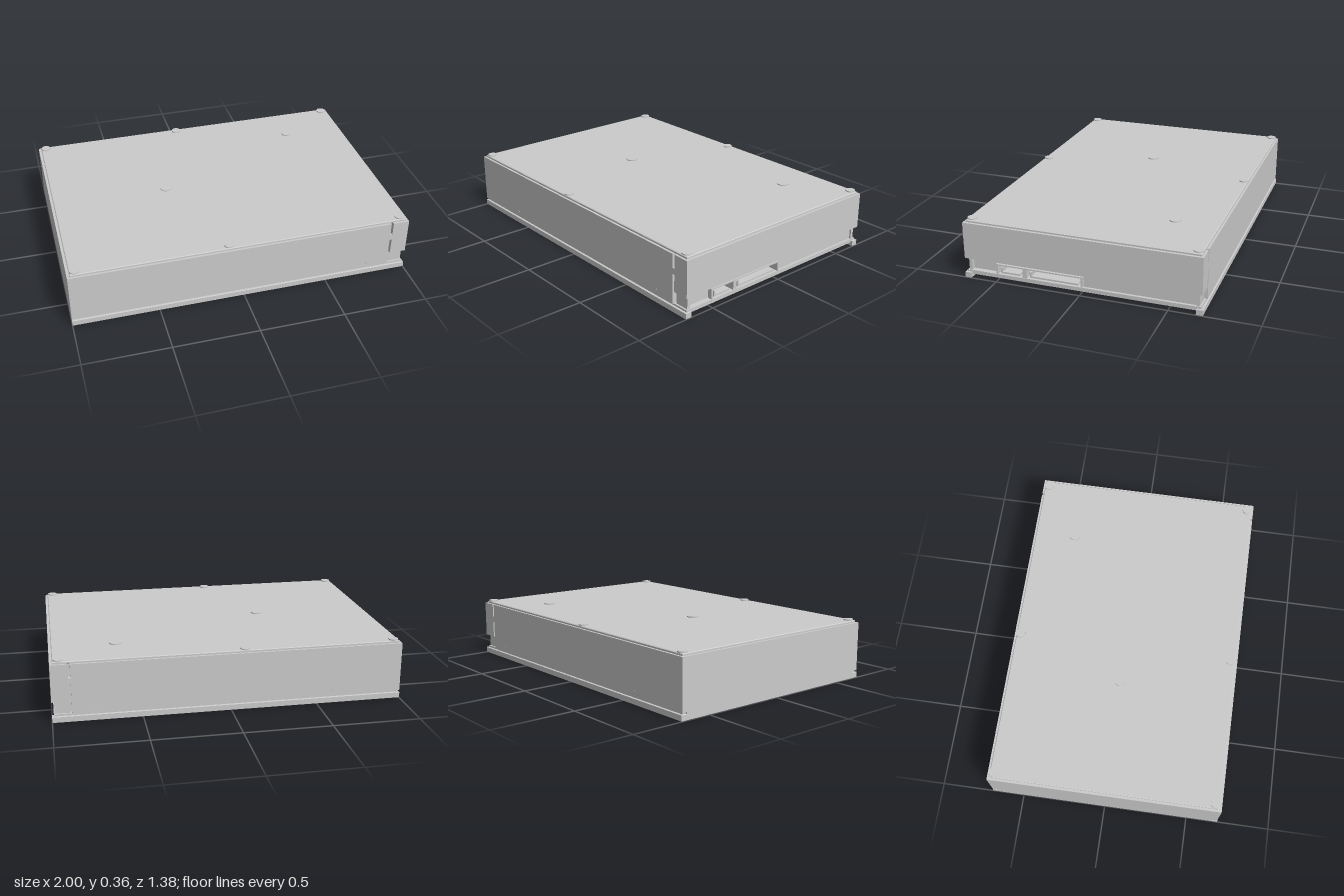
import * as THREE from 'three';

const grey = new THREE.MeshStandardMaterial({ color: 0xcccccc, flatShading: true });
const smooth = new THREE.MeshStandardMaterial({ color: 0xcccccc });

export function createModel() {
  const model = new THREE.Group();

  const add = (name, geometry, material = grey) => {
    const mesh = new THREE.Mesh(geometry, material);
    mesh.name = name;
    model.add(mesh);
    return mesh;
  };
  // Box given by its lower and upper limits on each axis
  const block = (name, x0, x1, y0, y1, z0, z1) => {
    const mesh = add(name, new THREE.BoxGeometry(x1 - x0, y1 - y0, z1 - z0));
    mesh.position.set((x0 + x1) / 2, (y0 + y1) / 2, (z0 + z1) / 2);
    return mesh;
  };
  const disc = (name, x, y0, y1, z, r) => {
    const mesh = add(name, new THREE.CylinderGeometry(r, r, y1 - y0, 32), smooth);
    mesh.position.set(x, (y0 + y1) / 2, z);
    return mesh;
  };
  const polygon = (points) => new THREE.Shape(points.map(([x, y]) => new THREE.Vector2(x, y)));
  const rectHole = (x0, x1, y0, y1) =>
    new THREE.Path([[x0, y0], [x0, y1], [x1, y1], [x1, y0]].map(([x, y]) => new THREE.Vector2(x, y)));

  // Casting: upper body overhangs a recessed lower body at the connector end
  block('upperBody', -1, 1, 0.12, 0.335, -0.655, 0.655);
  block('lowerBody', -1, 0.92, 0.028, 0.12, -0.655, 0.655);
  block('endWall', 0.92, 0.975, 0.03, 0.12, -0.65, -0.018);
  block('endWallShort', 0.92, 0.96, 0.03, 0.12, 0.5, 0.65);

  // Side panels with the slits that split off the corner blocks
  const panel = polygon([
    [-1, 0.045], [0.89, 0.045], [0.89, 0.22], [0.903, 0.22], [0.903, 0.12], [1, 0.12],
    [1, 0.335], [0.903, 0.335], [0.903, 0.255], [0.89, 0.255], [0.89, 0.335], [-1, 0.335],
  ]);
  for (const side of [-1, 1]) {
    const wall = add('sidePanel', new THREE.ExtrudeGeometry(panel, { depth: 0.034, bevelEnabled: false }));
    wall.position.z = side > 0 ? 0.652 : -0.686;
    // Small mounting holes shown as shallow plugs
    for (const x of [-0.6, 0.76]) {
      const plug = add('mountingPoint', new THREE.CylinderGeometry(0.007, 0.007, 0.004, 12), smooth);
      plug.rotation.x = Math.PI / 2;
      plug.position.set(x, 0.075, side * 0.686);
    }
    // Post behind each corner notch
    block('cornerPost', 0.9, 0.985, 0.045, 0.12, side > 0 ? 0.65 : -0.668, side > 0 ? 0.668 : -0.65);
  }

  // Bottom rail running round three sides, open at the connector end
  const rail = polygon([
    [-1, -0.69], [1, -0.69], [1, -0.652], [-0.965, -0.652],
    [-0.965, 0.652], [1, 0.652], [1, 0.69], [-1, 0.69],
  ]);
  const railMesh = add('bottomRail', new THREE.ExtrudeGeometry(rail, { depth: 0.031, bevelEnabled: true, bevelThickness: 0.002, bevelSize: 0.003, bevelOffset: -0.003, bevelSegments: 1 }));
  railMesh.rotation.x = -Math.PI / 2;
  railMesh.position.y = 0.002;
  block('railSeam', -0.99, 0.99, 0.034, 0.046, -0.678, 0.678);

  // Lid with a chamfered edge
  const lid = polygon([[-0.985, -0.673], [0.985, -0.673], [0.985, 0.673], [-0.985, 0.673]]);
  const lidMesh = add('lid', new THREE.ExtrudeGeometry(lid, { depth: 0.009, bevelEnabled: true, bevelThickness: 0.004, bevelSize: 0.004, bevelOffset: -0.004, bevelSegments: 1 }));
  lidMesh.rotation.x = -Math.PI / 2;
  lidMesh.position.y = 0.335;

  // Lid screws: edge screws and the two larger pivots
  const screws = [[-0.3, 0, 0.035], [0.622, -0.425, 0.035]];
  for (const x of [-0.955, -0.083, 0.953]) for (const z of [-0.648, 0.645]) screws.push([x, z, 0.028]);
  for (const [x, z, r] of screws) {
    disc('screwNeck', x, 0.345, 0.351, z, r * 0.9);
    disc('screwHead', x, 0.35, 0.356, z, r);
  }

  // Circuit board
  block('circuitBoard', -0.08, 0.985, 0.02, 0.032, -0.652, 0.652);

  // Connector housing with two sockets; the shape's x runs along -z
  const housing = polygon([[-0.5, 0.03], [0.015, 0.03], [0.015, 0.106], [-0.5, 0.106]]);
  housing.holes.push(rectHole(-0.49, -0.34, 0.038, 0.098), rectHole(-0.315, 0.005, 0.038, 0.098));
  const shell = add('connectorHousing', new THREE.ExtrudeGeometry(housing, { depth: 0.07, bevelEnabled: false }));
  shell.rotation.y = Math.PI / 2;
  shell.position.x = 0.918;
  // L-shaped contact tongues inside the sockets
  for (const [z0, z1] of [[0.36, 0.475], [0.015, 0.3]]) {
    block('contactTongue', 0.918, 0.98, 0.05, 0.06, z0, z1);
    block('contactKey', 0.918, 0.98, 0.06, 0.084, z1 - 0.01, z1);
  }

  // Underside casting: cross ribs and the spindle boss
  for (const [x, w] of [[-0.125, 0.05], [-0.51, 0.022], [-0.76, 0.022]])
    block('crossRib', x - w / 2, x + w / 2, 0.018, 0.03, -0.652, 0.652);
  disc('spindleBoss', -0.29, 0.013, 0.03, 0, 0.19);

  // Large chips: x, z, width, depth
  for (const [x, z, w, d] of [[0.51, -0.11, 0.2, 0.19], [0.24, -0.34, 0.13, 0.14], [0.17, 0.25, 0.11, 0.13]])
    block('chip', x - w / 2, x + w / 2, 0.01, 0.021, z - d / 2, z + d / 2);

  // Small components scattered over the board
  const parts = [
    [0.81, -0.275], [0.72, -0.56], [0.64, -0.54], [0.58, -0.52], [0.81, 0.34], [0.6, 0.35],
    [0.71, 0.46], [0.57, 0.28], [0.32, 0.53], [0.17, 0.47], [0.35, 0.05], [0.35, -0.09],
    [0.12, -0.42], [0.38, -0.38], [0.1, -0.48], [0.68, -0.2],
  ];
  parts.forEach(([x, z], i) => {
    const w = i % 3 ? 0.012 : 0.02, d = i % 2 ? 0.01 : 0.018;
    block('component', x - w, x + w, 0.012, 0.021, z - d, z + d);
  });

  return model;
}
